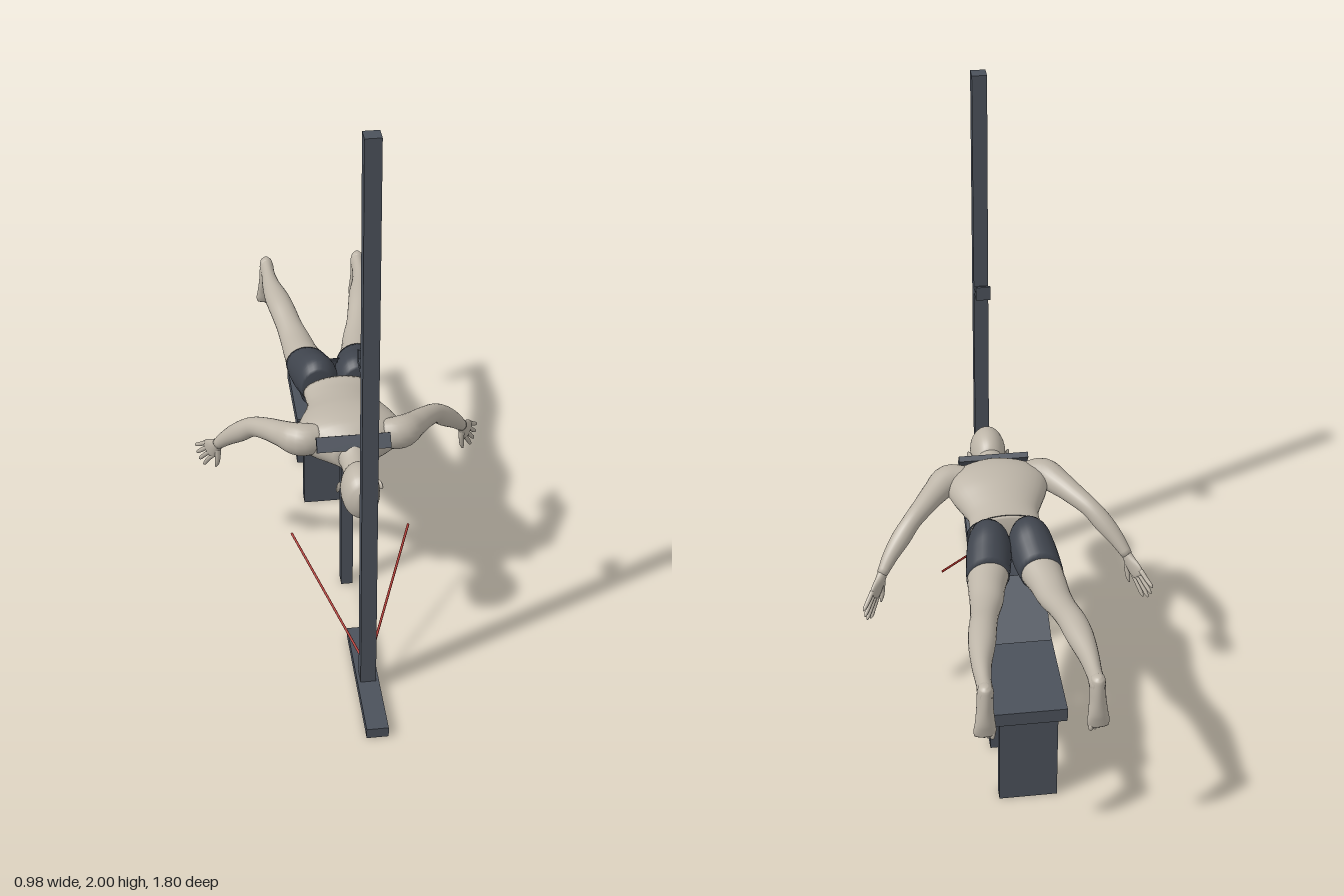
import * as THREE from 'three';

const mat = (name, color) => Object.assign(new THREE.MeshStandardMaterial({ color }), { name });
const V = (x, y, z) => new THREE.Vector3(x, y, z);
const UP = V(0, 1, 0), Z = V(0, 0, 1);

export function createModel() {
  const root = new THREE.Group();
  root.name = 'bodyOnInclineBench';
  const skin = mat('skin', 0xbdb5a8);
  const frame = mat('frameGrey', 0x4b515b);
  const cloth = mat('shortsGrey', 0x40454e);
  const red = mat('cableRed', 0xb03028);

  const add = (name, geo, material, parent = root) => {
    const m = new THREE.Mesh(geo, material);
    m.name = name;
    parent.add(m);
    return m;
  };
  // Box from its min and max corners
  const box = (name, x, y, z, material = frame) => {
    const m = add(name, new THREE.BoxGeometry(x[1] - x[0], y[1] - y[0], z[1] - z[0]), material);
    m.position.set((x[0] + x[1]) / 2, (y[0] + y[1]) / 2, (z[0] + z[1]) / 2);
    return m;
  };

  // Smooth skin over elliptical rings; row = [x, y, z, halfWidth, halfHeight]
  const loft = (rows, { axis = null, ref = UP, seg = 24, sub = 4, side = 1 } = {}) => {
    const path = new THREE.CatmullRomCurve3(rows.map(r => V(r[0] * side, r[1], r[2])));
    const size = new THREE.CatmullRomCurve3(rows.map((r, i) => V(r[3], r[4], i * 0.02)));
    const n = (rows.length - 1) * sub, pos = [], idx = [];
    for (let i = 0; i <= n; i++) {
      const c = path.getPoint(i / n), s = size.getPoint(i / n);
      const t = axis || path.getTangent(i / n);
      const u = ref.clone().cross(t).normalize(), v = t.clone().cross(u).normalize();
      for (let j = 0; j < seg; j++) {
        const a = j / seg * Math.PI * 2;
        const p = c.clone().addScaledVector(u, Math.cos(a) * s.x).addScaledVector(v, Math.sin(a) * s.y);
        pos.push(p.x, p.y, p.z);
        if (i < n) {
          const k = i * seg + j, l = i * seg + (j + 1) % seg;
          idx.push(k, l, l + seg, k, l + seg, k + seg);
        }
      }
    }
    const a = path.getPoint(0), b = path.getPoint(1), base = pos.length / 3;
    pos.push(a.x, a.y, a.z, b.x, b.y, b.z);
    for (let j = 0; j < seg; j++) {
      const k = (j + 1) % seg;
      idx.push(base, k, j, base + 1, n * seg + j, n * seg + k);
    }
    const g = new THREE.BufferGeometry();
    g.setAttribute('position', new THREE.Float32BufferAttribute(pos, 3));
    g.setIndex(idx);
    g.computeVertexNormals();
    return g;
  };
  // Body section from z, half width, bottom and top
  const slab = ([z, hw, lo, hi, x = 0]) => [x, (lo + hi) / 2, z, hw, (hi - lo) / 2];
  const ball = (name, p, r, material, parent) => {
    const m = add(name, new THREE.SphereGeometry(1, 16, 12), material, parent);
    m.position.set(...p);
    m.scale.set(...r);
    return m;
  };

  // Upright stand with hook
  box('standBase', [-0.035, 0.035], [0, 0.036], [0.42, 0.9]);
  box('standPost', [-0.025, 0.025], [0.036, 2], [0.636, 0.684]);
  box('hookArm', [-0.025, 0.025], [1.2, 1.22], [0.572, 0.636]);
  box('hookLip', [-0.025, 0.025], [1.22, 1.25], [0.572, 0.58]);

  // Bench
  box('benchSeat', [-0.12, 0.12], [0.343, 0.392], [-0.641, -0.295]);
  box('benchFrontLeg', [-0.095, 0.095], [0, 0.343], [-0.366, -0.323]);
  box('benchRearLeg', [-0.095, 0.095], [0, 0.343], [-0.61, -0.567]);
  box('padSupport', [-0.02, 0.02], [0, 0.58], [0.108, 0.15]);
  const pad = add('inclinePad', new THREE.BoxGeometry(0.24, 0.046, 0.5), frame);
  pad.position.set(0, 0.492, -0.062);
  pad.rotation.x = -Math.PI / 6;

  // Bar across the upper back
  const bar = add('backBar', new THREE.BoxGeometry(0.24, 0.02, 0.05), frame);
  bar.position.set(0, 0.716, 0.308);
  bar.rotation.x = 0.96;

  // Figure
  const body = new THREE.Group();
  body.name = 'figure';
  root.add(body);

  add('torso', loft([
    [-0.06, 0.122, 0.61, 0.728], [-0.02, 0.119, 0.613, 0.728], [0.03, 0.119, 0.61, 0.737],
    [0.08, 0.135, 0.6, 0.748], [0.14, 0.16, 0.595, 0.761], [0.2, 0.175, 0.595, 0.765],
    [0.25, 0.16, 0.6, 0.758], [0.285, 0.11, 0.608, 0.738], [0.32, 0.055, 0.615, 0.712],
  ].map(slab), { axis: Z, seg: 36 }), skin, body);

  add('neck', loft([[0.28, 0.07, 0.615, 0.735], [0.32, 0.05, 0.612, 0.713], [0.36, 0.044, 0.614, 0.702],
    [0.42, 0.042, 0.62, 0.7]].map(slab), { axis: Z }), skin, body);

  add('head', loft([
    [0.366, 0.016, 0.56, 0.6], [0.375, 0.034, 0.557, 0.66], [0.39, 0.046, 0.556, 0.7],
    [0.42, 0.056, 0.556, 0.722], [0.46, 0.062, 0.558, 0.731], [0.5, 0.058, 0.565, 0.726],
    [0.525, 0.045, 0.58, 0.71], [0.541, 0.023, 0.612, 0.68], [0.546, 0.004, 0.64, 0.652],
  ].map(slab), { axis: Z, seg: 32 }), skin, body);
  ball('nose', [0, 0.558, 0.428], [0.01, 0.014, 0.018], skin, body);
  ball('lips', [0, 0.558, 0.399], [0.018, 0.006, 0.007], skin, body);

  add('shortsWaist', loft([[-0.042, 0.13, 0.607, 0.73], [-0.08, 0.134, 0.598, 0.745],
    [-0.13, 0.138, 0.588, 0.745], [-0.18, 0.125, 0.582, 0.72], [-0.2, 0.06, 0.6, 0.69]].map(slab),
  { axis: Z, seg: 36 }), cloth, body);

  // Leg sections: z, half width, bottom, top, x
  const leg = [
    [-0.265, 0.068, 0.587, 0.712, 0.088], [-0.33, 0.06, 0.597, 0.704, 0.1], [-0.4, 0.054, 0.607, 0.7, 0.109],
    [-0.48, 0.046, 0.626, 0.711, 0.125], [-0.56, 0.045, 0.642, 0.727, 0.14], [-0.64, 0.043, 0.645, 0.728, 0.152],
    [-0.74, 0.031, 0.646, 0.721, 0.165], [-0.82, 0.024, 0.65, 0.718, 0.168], [-0.87, 0.025, 0.655, 0.72, 0.169],
    [-0.89, 0.016, 0.665, 0.712, 0.17]];
  const shortLeg = [[-0.07, 0.055, 0.605, 0.742, 0.068], [-0.11, 0.068, 0.594, 0.762, 0.068],
    [-0.15, 0.074, 0.582, 0.76, 0.071], [-0.2, 0.075, 0.578, 0.742, 0.078], [-0.268, 0.071, 0.583, 0.716, 0.088]];

  for (const side of [1, -1]) {
    const limb = new THREE.Group();
    limb.name = side > 0 ? 'leftLimbs' : 'rightLimbs';
    body.add(limb);
    const back = V(0, 0, -1), opt = { axis: back, side };

    add('shortsLeg', loft(shortLeg.map(slab), opt), cloth, limb);
    add('leg', loft([[-0.24, 0.068, 0.586, 0.716, 0.083], ...leg].map(slab), opt), skin, limb);

    // Foot hangs down from the ankle
    add('foot', loft([[0.17, 0.722, -0.872, 0.008, 0.012], [0.17, 0.71, -0.868, 0.021, 0.027],
      [0.17, 0.67, -0.863, 0.025, 0.036], [0.171, 0.63, -0.868, 0.026, 0.032], [0.172, 0.58, -0.878, 0.031, 0.021],
      [0.173, 0.55, -0.879, 0.035, 0.015], [0.173, 0.533, -0.88, 0.032, 0.011]],
    { axis: V(0, -1, 0), ref: Z, side }), skin, limb);
    for (let i = 0; i < 5; i++) {
      const r = 0.01 - i * 0.0011;
      ball('toe', [side * (0.15 + i * 0.0125), 0.53 + i * 0.004, -0.88], [r * 0.85, 0.016, r], skin, limb);
    }

    add('arm', loft([[0.1, 0.69, 0.235, 0.04, 0.05], [0.165, 0.692, 0.235, 0.052, 0.055],
      [0.215, 0.682, 0.185, 0.043, 0.044], [0.26, 0.667, 0.13, 0.036, 0.037], [0.305, 0.645, 0.08, 0.031, 0.033],
      [0.345, 0.605, 0.045, 0.032, 0.034], [0.385, 0.56, 0.01, 0.026, 0.027], [0.418, 0.512, -0.023, 0.018, 0.019]],
    { side }), skin, limb);

    // Hand: along = finger direction, across = towards the thumb
    const along = V(0.41, -0.7, -0.58), across = V(-0.42, -0.71, 0.56);
    const ref = V(0.8 * side, 0, 0.6);
    const at = (a, c, hw, hh) => [...V(0.415, 0.517, -0.02).addScaledVector(along, a).addScaledVector(across, c).toArray(), hw, hh];
    const hand = { ref, side, seg: 12 };
    add('palm', loft([at(-0.005, 0, 0.017, 0.016), at(0.025, 0.002, 0.024, 0.015), at(0.06, 0.001, 0.033, 0.012),
      at(0.085, 0, 0.032, 0.009), at(0.092, 0, 0.024, 0.005)], { ...hand, seg: 20 }), skin, limb);
    [0.062, 0.078, 0.084, 0.075].forEach((len, i) => {
      const c = (i - 1.5) * 0.0165, e = c * 1.4;
      add('finger', loft([at(0.075, c, 0.008, 0.008), at(0.085 + len * 0.5, (c + e) / 2, 0.0075, 0.0075),
        at(0.08 + len * 0.92, e, 0.006, 0.006), at(0.085 + len, e, 0.002, 0.002)], hand), skin, limb);
    });
    add('thumb', loft([at(0.02, 0.012, 0.011, 0.011), at(0.048, 0.037, 0.01, 0.009),
      at(0.075, 0.055, 0.008, 0.008), at(0.094, 0.064, 0.003, 0.003)], hand), skin, limb);

    const ear = ball('ear', [side * 0.066, 0.645, 0.442], [0.006, 0.014, 0.021], skin, limb);
    ear.rotation.y = side * 0.35;

    // Cable from the foot of the post
    const line = new THREE.LineCurve3(V(side * 0.012, 0.09, 0.636), V(side * 0.197, 0.304, 0.228));
    add('cable', new THREE.TubeGeometry(line, 1, 0.004, 8), red);
  }
  return root;
}
